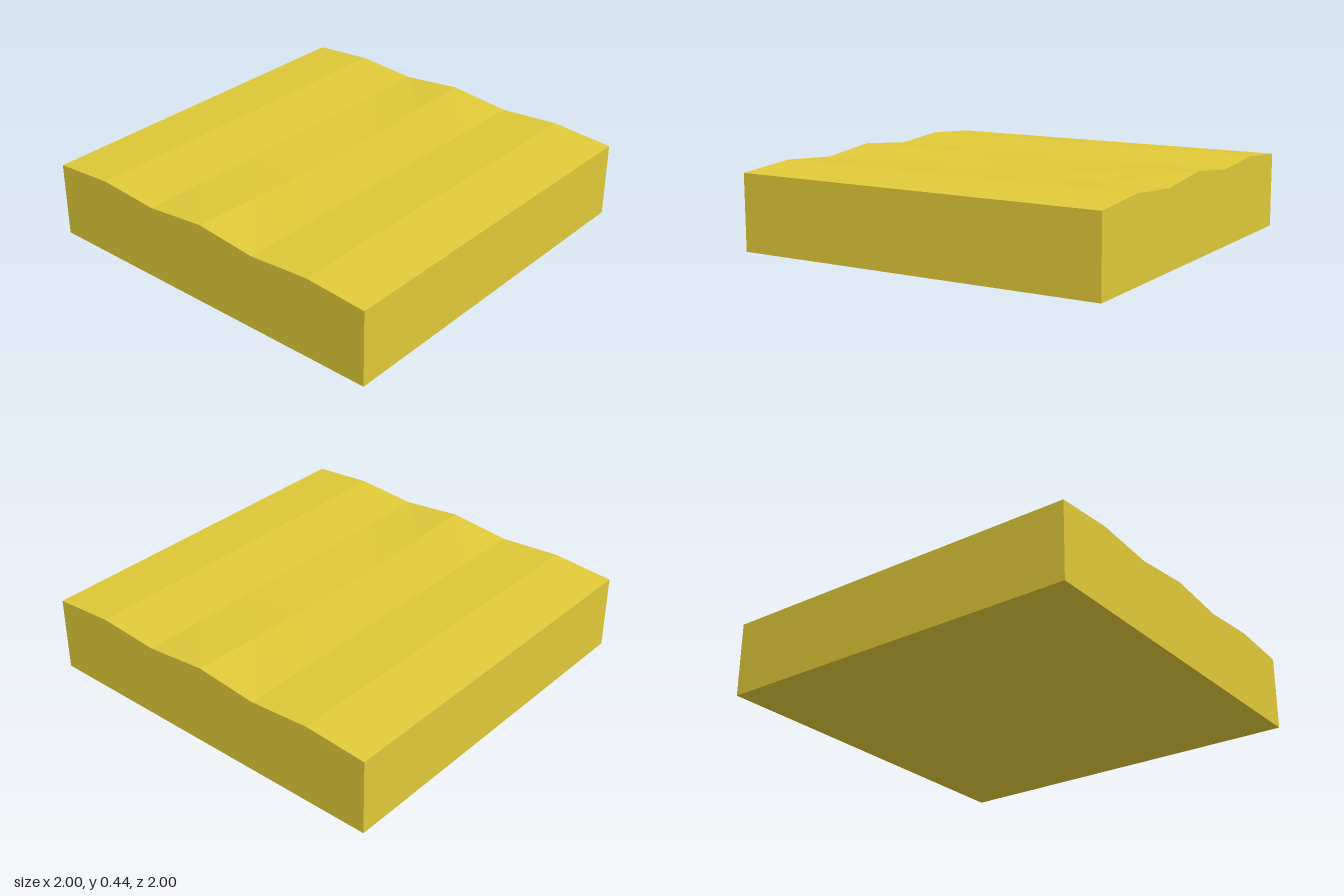
import * as THREE from 'three';

// Height of the rippled top at grid column i (across x) and row j (along z)
const rowHeights = [0.4, 0.425, 0.4, 0, 0.4, 0.425, 0.4];
const middleRidge = [0.435, 0.422, 0.411, 0.408, 0.411, 0.422, 0.435];
const topHeight = (i, j) => (j === 3 ? middleRidge[i] : rowHeights[j]);

export function createModel() {
  const group = new THREE.Group();
  group.name = 'sandTile';

  // Square block whose top vertices are lifted into three ridges
  const geometry = new THREE.BoxGeometry(2, 0.4, 2, 6, 1, 6);
  geometry.translate(0, 0.2, 0);
  const position = geometry.attributes.position;
  for (let k = 0; k < position.count; k++) {
    if (position.getY(k) < 0.2) continue;
    const i = Math.round((position.getX(k) + 1) * 3);
    const j = Math.round((position.getZ(k) + 1) * 3);
    position.setY(k, topHeight(i, j));
  }
  geometry.computeVertexNormals();

  const material = new THREE.MeshStandardMaterial({ color: 0xe0c938, flatShading: true });
  const block = new THREE.Mesh(geometry, material);
  block.name = 'rippledSandBlock';
  group.add(block);
  return group;
}
